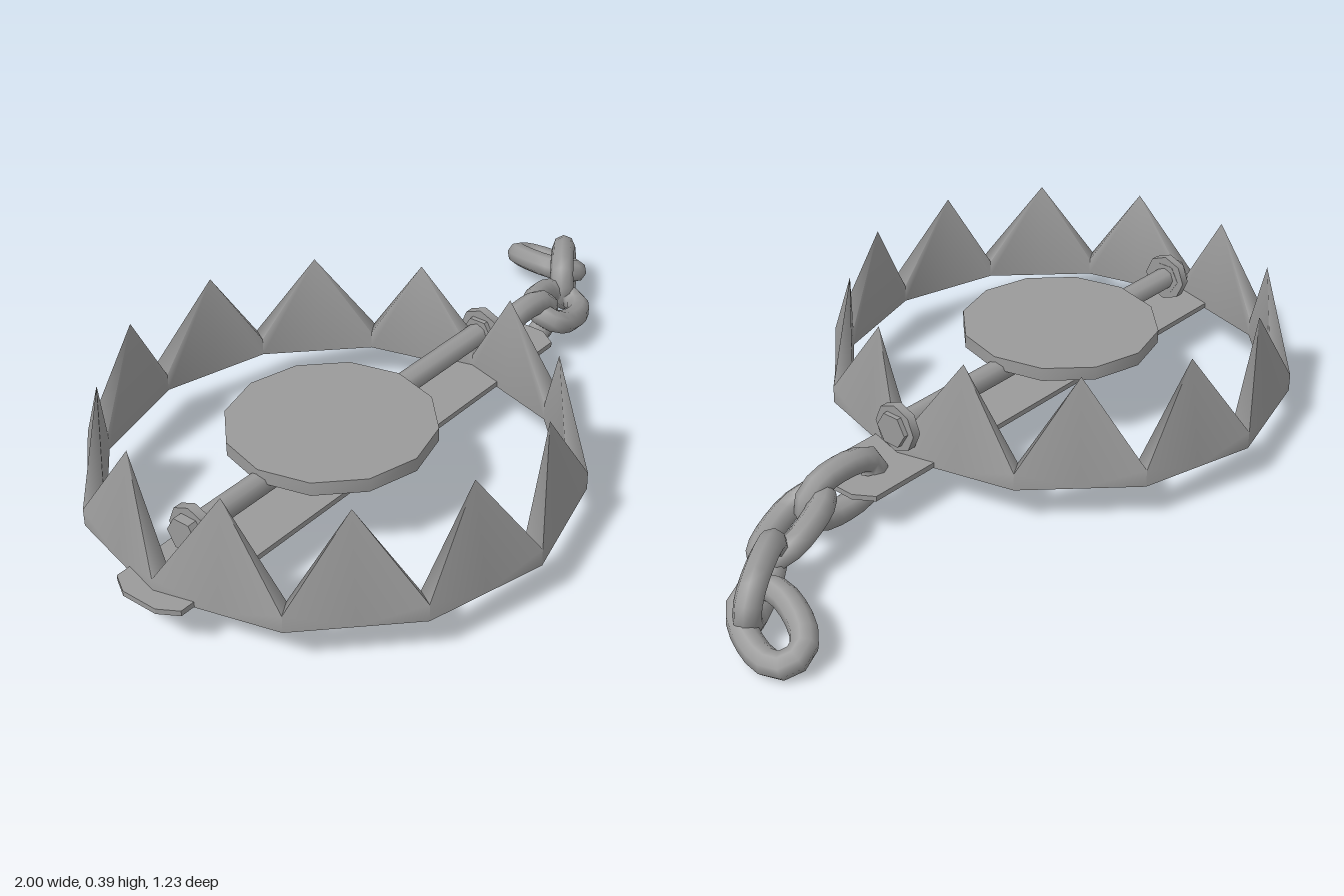
import * as THREE from 'three';
import { toCreasedNormals } from 'three/addons/utils/BufferGeometryUtils.js';

const CX = -0.34; // centre of the jaws
const material = new THREE.MeshStandardMaterial({ color: 0x9a9a9a });

function add(parent, name, geometry, x = 0, y = 0, z = 0) {
  const mesh = new THREE.Mesh(geometry, material);
  mesh.name = name;
  mesh.position.set(x, y, z);
  parent.add(mesh);
  return mesh;
}

// Toothed ring: valleys at the 12 corners, a peak on the inner wall of each side
function jawGeometry() {
  const sides = 12, base = 0.109, valley = 0.155, peak = 0.39;
  const outer = 0.617, inner = 0.566;
  const section = (i) => {
    const tooth = i % 2 === 1;
    const k = tooth ? Math.cos(Math.PI / sides) : 1;
    const a = (i / (2 * sides)) * Math.PI * 2;
    const at = (r, y) => new THREE.Vector3(Math.cos(a) * r * k, y, Math.sin(a) * r * k);
    const top = tooth ? peak : valley;
    return [at(outer, base), at(tooth ? inner : outer, top), at(inner, top), at(inner, base)];
  };
  const pos = [];
  const tri = (a, b, c) => {
    const area = b.clone().sub(a).cross(c.clone().sub(a)).length();
    if (area > 1e-7) pos.push(...a.toArray(), ...b.toArray(), ...c.toArray());
  };
  for (let i = 0; i < sides * 2; i++) {
    const p = section(i), q = section((i + 1) % (sides * 2));
    for (let j = 0; j < 4; j++) {
      const n = (j + 1) % 4;
      // diagonals run from the valley to the foot of the tooth on both flanks
      if (i % 2 === 0) {
        tri(p[j], p[n], q[j]);
        tri(p[n], q[n], q[j]);
      } else {
        tri(p[j], p[n], q[n]);
        tri(p[j], q[n], q[j]);
      }
    }
  }
  const g = new THREE.BufferGeometry();
  g.setAttribute('position', new THREE.Float32BufferAttribute(pos, 3));
  return toCreasedNormals(g, 1.5);
}

// Base strip with clipped corners and a hole for the chain
function baseGeometry() {
  const s = new THREE.Shape([
    [-1, -0.05], [-0.97, -0.1], [0.45, -0.1], [0.483, -0.05],
    [0.483, 0.05], [0.45, 0.1], [-0.97, 0.1], [-1, 0.05],
  ].map(([x, y]) => new THREE.Vector2(x, y)));
  const hole = new THREE.Path();
  hole.absarc(0.372, -0.005, 0.04, 0, Math.PI * 2, true);
  s.holes.push(hole);
  const g = new THREE.ExtrudeGeometry(s, { depth: 0.014, bevelEnabled: false, curveSegments: 4 });
  return g.rotateX(-Math.PI / 2);
}

// Oval link lying in its local xy plane
function linkGeometry() {
  const L = 0.107, W = 0.053;
  const pts = [
    [L, 0.025], [0.06, W], [-0.06, W], [-L, 0.025],
    [-L, -0.025], [-0.06, -W], [0.06, -W], [L, -0.025],
  ].map(([x, y]) => new THREE.Vector3(x, y, 0));
  const path = new THREE.CatmullRomCurve3(pts, true, 'centripetal');
  return new THREE.TubeGeometry(path, 16, 0.033, 8, true);
}

const axial = (r, len, sides) =>
  toCreasedNormals(new THREE.CylinderGeometry(r, r, len, sides).rotateZ(Math.PI / 2), 0.9);

export function createModel() {
  const model = new THREE.Group();
  model.name = 'jawTrap';

  add(model, 'toothedJaws', jawGeometry(), CX, 0, 0);
  add(model, 'basePlate', baseGeometry(), 0, 0.111, 0);
  add(model, 'pressurePan', toCreasedNormals(new THREE.CylinderGeometry(0.262, 0.262, 0.036, 12), 0.6), CX, 0.231, -0.005);
  add(model, 'hingeRod', axial(0.03, 1.1, 8), -0.27, 0.204, -0.008);

  // Hex nut and washer at each end of the rod
  for (const [name, x] of [['right', -0.825], ['left', 0.28]]) {
    add(model, name + 'Washer', axial(0.064, 0.024, 8), x + (x < 0 ? 0.012 : 0), 0.204, -0.008);
    add(model, name + 'Nut', axial(0.046, 0.05, 6), x, 0.204, -0.008);
  }

  // Chain: centre, long axis and width axis of each link
  const chain = new THREE.Group();
  chain.name = 'chain';
  model.add(chain);
  const geometry = linkGeometry();
  [
    [[0.475, 0.119, -0.008], [1, 0, 0], [0, 1, 0]],
    [[0.647, 0.106, -0.018], [1, -0.25, -0.28], [0, 0.35, -1]],
    [[0.835, 0.097, -0.12], [1, -0.08, -0.62], [0, 1, -0.1]],
    [[0.9, 0.067, -0.223], [0.35, -0.2, -1], [1, -0.45, 0]],
  ].forEach(([c, d, w], i) => {
    const x = new THREE.Vector3(...d).normalize();
    const z = x.clone().cross(new THREE.Vector3(...w)).normalize();
    const y = z.clone().cross(x);
    const link = add(chain, 'chainLink' + (i + 1), geometry, ...c);
    link.quaternion.setFromRotationMatrix(new THREE.Matrix4().makeBasis(x, y, z));
  });
  return model;
}
